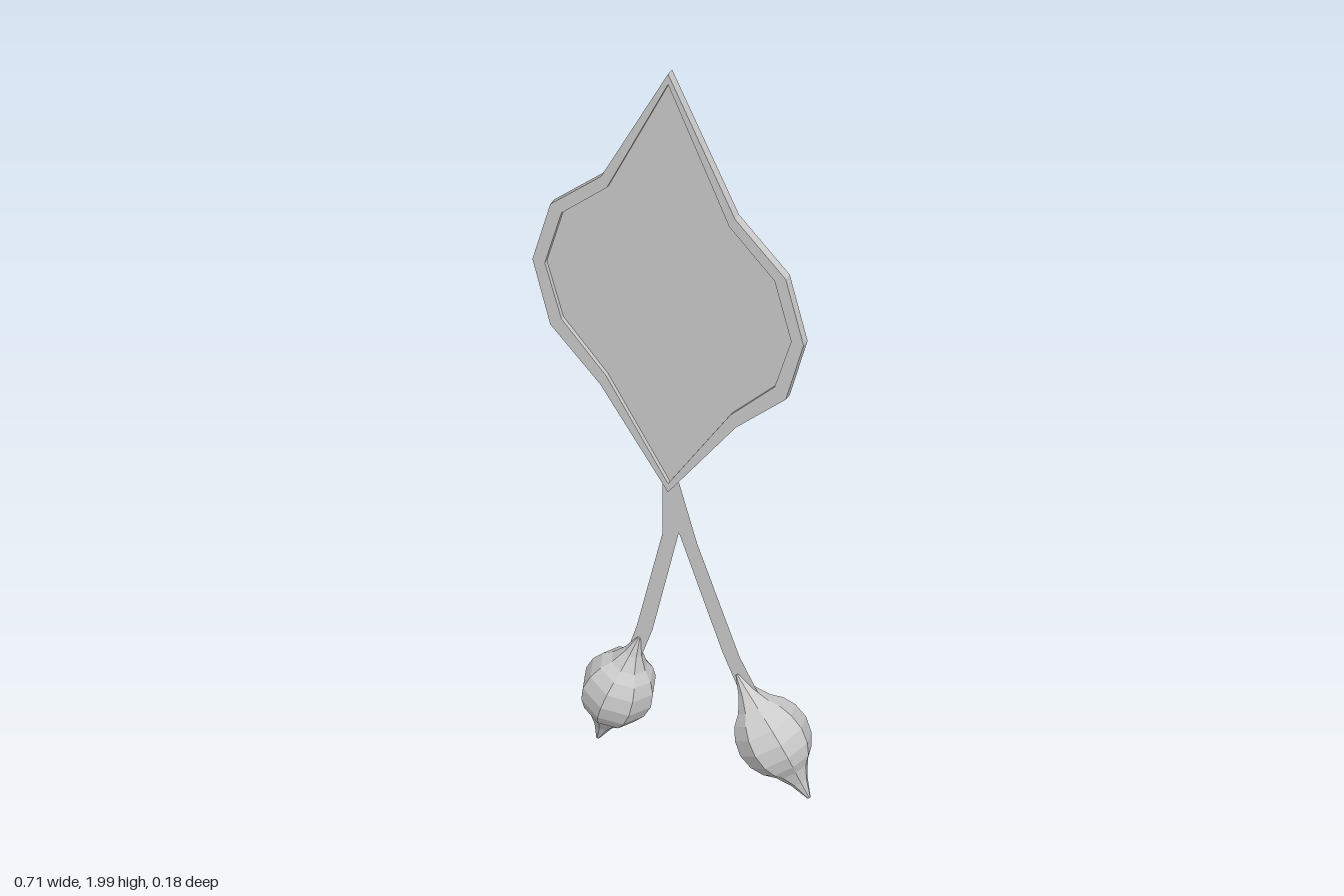
import * as THREE from 'three';

const material = new THREE.MeshStandardMaterial({ color: 0xcccccc, flatShading: true });
const thinMaterial = new THREE.MeshStandardMaterial({ color: 0xcccccc, flatShading: true, side: THREE.DoubleSide });
const CENTRE_X = -0.005;
const DEPTH = 0.02;

// Closed counter-clockwise outline mirrored from its right half, listed from top to bottom
function mirroredOutline(half) {
  const left = half.slice(1, -1).reverse().map(([x, y]) => [-x, y]);
  return [...half, ...left].map(([x, y]) => new THREE.Vector2(x + CENTRE_X, y)).reverse();
}

function addMesh(parent, name, geometry, mat) {
  const mesh = new THREE.Mesh(geometry, mat);
  mesh.name = name;
  parent.add(mesh);
}

function flatStrip(points) {
  return new THREE.ShapeGeometry(new THREE.Shape(points.map(([x, y]) => new THREE.Vector2(x, y))));
}

export function createModel() {
  const group = new THREE.Group();
  group.name = 'hangingOrnament';

  // Faceted leaf-shaped frame with a recessed panel
  const outer = mirroredOutline([[0, 2], [0.173, 1.642], [0.304, 1.515], [0.35, 1.34], [0.304, 1.167], [0.175, 1.04], [0, 0.79]]);
  const inner = mirroredOutline([[0, 1.97], [0.158, 1.615], [0.275, 1.5], [0.318, 1.34], [0.275, 1.193], [0.16, 1.07], [0, 0.815]]);
  const frameShape = new THREE.Shape(outer);
  frameShape.holes.push(new THREE.Path([...inner].reverse()));
  const frameGeometry = new THREE.ExtrudeGeometry(frameShape, { depth: DEPTH, bevelEnabled: false });
  frameGeometry.translate(0, 0, -DEPTH / 2);
  addMesh(group, 'frame', frameGeometry, thinMaterial);
  addMesh(group, 'panel', new THREE.ShapeGeometry(new THREE.Shape(inner)), thinMaterial);

  // Flat forked ribbon
  addMesh(group, 'forkedRibbon', flatStrip([
    [-0.024, 0.82], [-0.024, 0.66], [-0.09, 0.37], [-0.12, 0.27], [-0.083, 0.27], [-0.05, 0.37],
    [0.018, 0.675], [0.13, 0.37], [0.175, 0.27], [0.222, 0.285], [0.175, 0.37], [0.065, 0.66], [0.018, 0.82],
  ]), thinMaterial);

  // Bulbs with a pointed tip at each end
  const half = [[0.088, 0], [0.081, 0.038], [0.065, 0.068], [0.043, 0.09], [0.022, 0.125], [0.004, 0.172], [0, 0.173]];
  const profile = [
    ...half.slice(1).reverse().map(([r, t]) => new THREE.Vector2(r, -t)),
    ...half.map(([r, t]) => new THREE.Vector2(r, t)),
  ];
  const bulbGeometry = new THREE.LatheGeometry(profile, 8);
  const bulbs = [
    ['rightBulb', [-0.138, 0.171], -0.315],
    ['leftBulb', [0.261, 0.173], 0.571],
  ];
  for (const [name, [x, y], tilt] of bulbs) {
    const bulb = new THREE.Group();
    bulb.name = name;
    bulb.position.set(x, y, 0);
    bulb.rotation.z = tilt;
    addMesh(bulb, 'pointedBulb', bulbGeometry, material);
    group.add(bulb);
  }
  return group;
}
